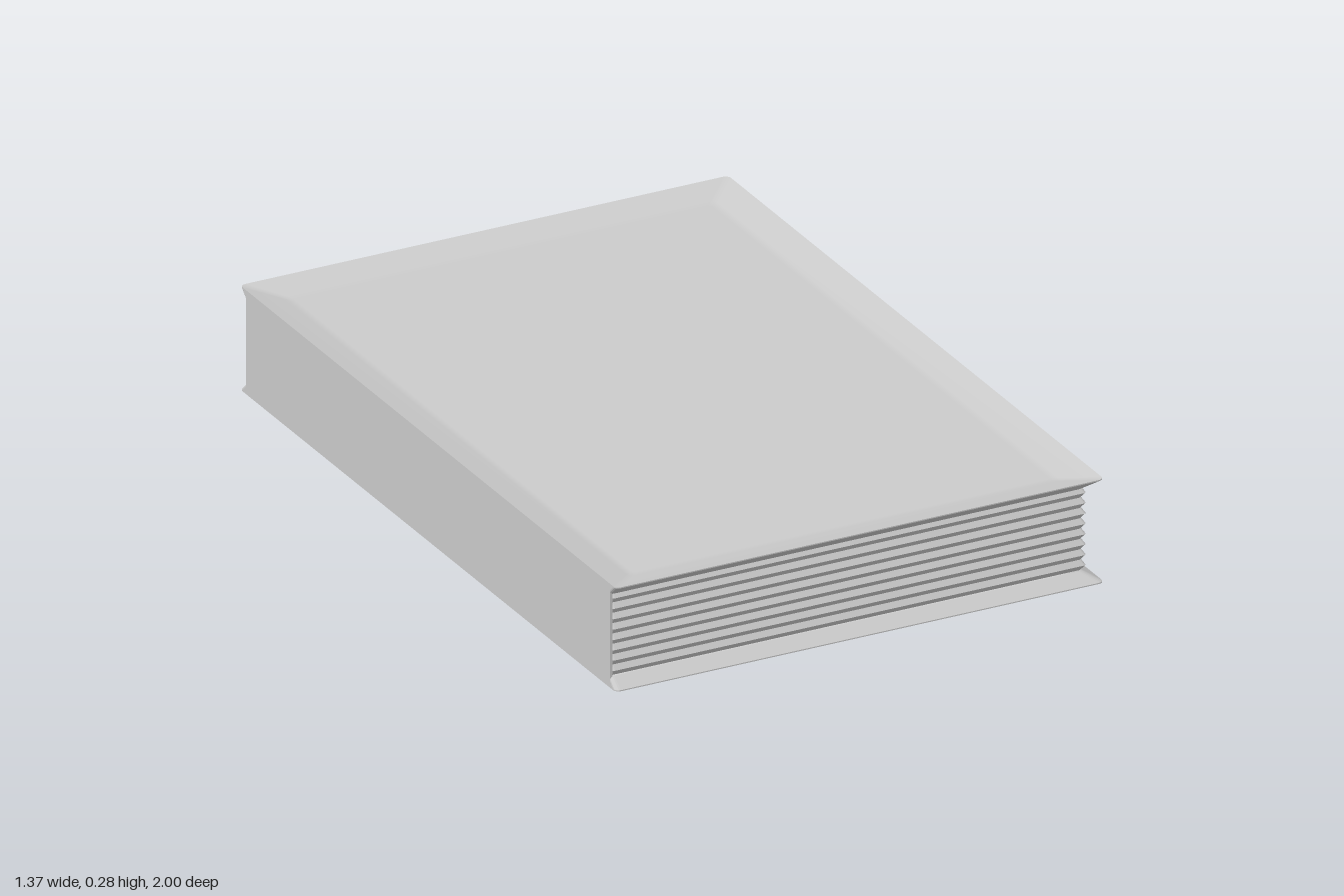
import * as THREE from 'three';

const H = 0.285, W = 0.685, D = 1;
const CORNER_STEPS = 4;

// Rounded rectangle loop at height y, as [x, y, z] points
function ring(y, x0, x1, z, r) {
  const pts = [];
  const corners = [[x1 - r, z - r], [x0 + r, z - r], [x0 + r, r - z], [x1 - r, r - z]];
  corners.forEach(([cx, cz], k) => {
    for (let i = 0; i <= CORNER_STEPS; i++) {
      const a = (k + i / CORNER_STEPS) * Math.PI / 2;
      pts.push([cx + r * Math.cos(a), y, cz + r * Math.sin(a)]);
    }
  });
  return pts;
}

// Skin through loops listed from bottom to top, facing outward
function loft(rings, flat) {
  const n = rings[0].length, index = [];
  for (let j = 0; j < rings.length - 1; j++) {
    for (let i = 0; i < n; i++) {
      const a = j * n + i, b = j * n + (i + 1) % n;
      index.push(a, a + n, b, b, a + n, b + n);
    }
  }
  let geo = new THREE.BufferGeometry();
  geo.setAttribute('position', new THREE.Float32BufferAttribute(rings.flat(2), 3));
  geo.setIndex(index);
  if (flat) geo = geo.toNonIndexed();
  geo.computeVertexNormals();
  return geo;
}

export function createModel() {
  const book = new THREE.Group();
  book.name = 'book';
  const material = new THREE.MeshStandardMaterial({ color: 0xcccccc, side: THREE.DoubleSide });
  const add = (name, geo, parent = book) => {
    const mesh = new THREE.Mesh(geo, material);
    mesh.name = name;
    parent.add(mesh);
    return mesh;
  };

  // Covers: shallow dished face inside a raised rim, thin lip, slanted inner side
  for (const top of [true, false]) {
    const cover = new THREE.Group();
    cover.name = top ? 'topCover' : 'bottomCover';
    book.add(cover);
    const y = (v) => (top ? v : H - v);
    const order = (list) => (top ? list : list.reverse());
    const inset = (depth, d, r) => ring(y(H - depth), d - W, W - d, D - d, r);

    add('coverFace', loft(order([
      inset(0, 0, 0.015),
      inset(0.018, 0.08, 0.012),
      inset(0.02, 0.1, 0.01),
      ring(y(H - 0.02), 0, 0, 0, 0),
    ])), cover);

    add('coverEdge', loft(order([
      ring(y(0.255), -W, 0.642, 0.968, 0.012),
      inset(0.003, 0, 0.015),
      inset(0, 0, 0.015),
    ]), true), cover);
  }

  // Page block with ridged sides
  const ridges = 8, y0 = 0.03, y1 = 0.257, pages = [];
  for (let i = 0; i <= ridges * 2; i++) {
    const out = i % 2 ? 0.009 : 0;
    pages.push(ring(y0 + (y1 - y0) * i / (ridges * 2), -0.68, 0.642 + out, 0.962 + out, 0.008));
  }
  add('pages', loft(pages, true));

  // Flat spine closing the left side
  const spine = add('spine', new THREE.BoxGeometry(0.008, 0.26, 1.936));
  spine.position.set(-W + 0.004, H / 2, 0);

  return book;
}
